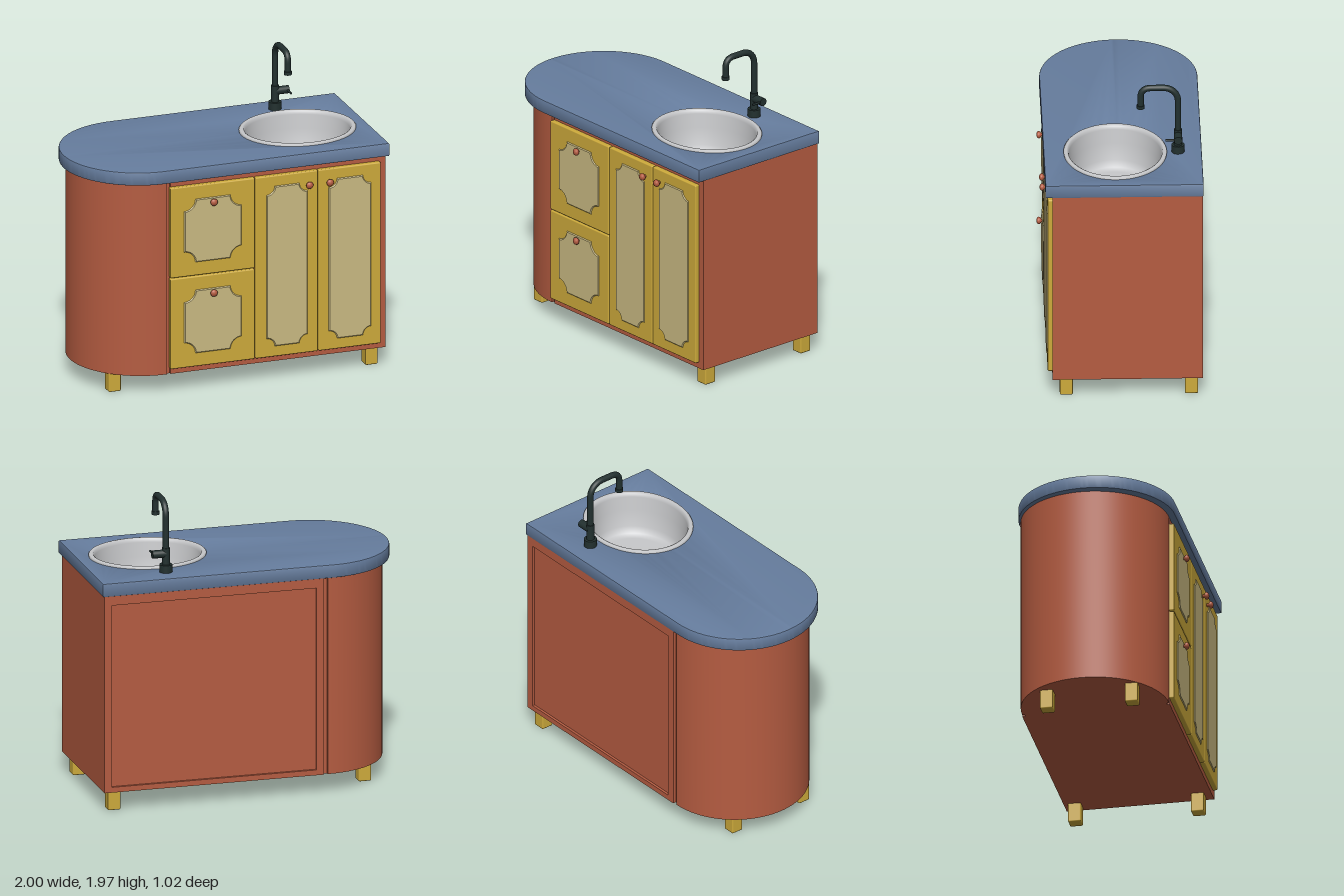
import * as THREE from 'three';
import { toCreasedNormals } from 'three/addons/utils/BufferGeometryUtils.js';
import { RoundedBoxGeometry } from 'three/addons/geometries/RoundedBoxGeometry.js';

const material = (name, color, side = THREE.FrontSide) =>
  Object.assign(new THREE.MeshStandardMaterial({ color, side }), { name });

export function createModel() {
  const blue = material('blue worktop', 0x667d9e);
  const red = material('terracotta', 0xb55c41);
  const yellow = material('mustard', 0xcdaa3b);
  const tan = material('sand', 0xcaba82);
  const steel = material('steel', 0xc6c7c9, THREE.DoubleSide);
  const dark = material('dark metal', 0x22302f);

  const model = new THREE.Group();
  model.name = 'sinkCabinet';
  const add = (name, geometry, mat, x = 0, y = 0, z = 0, parent = model) => {
    const mesh = new THREE.Mesh(geometry, mat);
    mesh.name = name;
    mesh.position.set(x, y, z);
    parent.add(mesh);
    return mesh;
  };
  // Box given by its limits
  const box = (name, mat, x0, x1, y0, y1, z0, z1, round = 0) => {
    const size = [x1 - x0, y1 - y0, z1 - z0];
    const geometry = round ? new RoundedBoxGeometry(...size, 2, round) : new THREE.BoxGeometry(...size);
    return add(name, geometry, mat, (x0 + x1) / 2, (y0 + y1) / 2, (z0 + z1) / 2);
  };
  // Plan outline extruded upward (shape y becomes -z)
  const slab = (shape, depth, bevel) => {
    const geometry = new THREE.ExtrudeGeometry(shape, {
      depth: depth - 2 * bevel, curveSegments: 48, bevelEnabled: bevel > 0,
      bevelSize: bevel, bevelThickness: bevel, bevelOffset: -bevel, bevelSegments: 2,
    });
    geometry.translate(0, 0, bevel).rotateX(-Math.PI / 2);
    return toCreasedNormals(geometry, 0.6);
  };
  // Outline with one half-round end towards -x
  const roundEnd = (xArc, xEnd, r, zMid) => {
    const s = new THREE.Shape();
    s.moveTo(xEnd, -zMid - r);
    s.lineTo(xEnd, -zMid + r);
    s.lineTo(xArc, -zMid + r);
    s.absarc(xArc, -zMid, r, Math.PI / 2, Math.PI * 1.5, false);
    s.closePath();
    return s;
  };

  // Worktop with an oval cut-out
  const sinkX = 0.55, sinkZ = 0.035;
  const top = roundEnd(-0.5025, 1, 0.4975, -0.0125);
  const hole = new THREE.Path();
  hole.absellipse(sinkX, -sinkZ, 0.355, 0.308, 0, Math.PI * 2, true);
  top.holes.push(hole);
  add('worktop', slab(top, 0.088, 0.008), blue, 0, 1.414, 0);

  // Cabinet: rounded end and hollow box
  add('roundedEnd', slab(roundEnd(-0.48, -0.475, 0.47, -0.03), 1.29, 0), red, 0, 0.125, 0);
  const y0 = 0.125, y1 = 1.415;
  box('cabinetFloor', red, -0.475, 0.99, y0, y0 + 0.02, -0.485, 0.42);
  box('cabinetFront', red, -0.45, 0.99, y0, y1, 0.415, 0.44);
  box('cabinetSide', red, 0.96, 0.99, y0, y1, -0.505, 0.44);
  box('joinStrip', red, -0.48, -0.44, y0, y1, -0.485, 0.425);
  box('backPanel', red, -0.45, 0.97, y0, y1, -0.488, -0.47);
  box('backTopRail', red, -0.4, 0.95, y1 - 0.06, y1, -0.505, -0.48);
  box('backBottomRail', red, -0.4, 0.95, y0, y0 + 0.035, -0.505, -0.48);
  box('backStile', red, -0.45, -0.4, y0, y1, -0.505, -0.48);
  box('backStile', red, 0.94, 0.99, y0, y1, -0.505, -0.48);

  // Raised panel with scooped corners
  const scoopedPanel = (w, h, r) => {
    const x = w / 2, y = h / 2, s = new THREE.Shape();
    s.moveTo(-x + r, -y);
    s.lineTo(x - r, -y);
    s.absarc(x, -y, r, Math.PI, Math.PI / 2, true);
    s.lineTo(x, y - r);
    s.absarc(x, y, r, Math.PI * 1.5, Math.PI, true);
    s.lineTo(-x + r, y);
    s.absarc(-x, y, r, 0, -Math.PI / 2, true);
    s.lineTo(-x, -y + r);
    s.absarc(-x, -y, r, Math.PI / 2, 0, true);
    return toCreasedNormals(new THREE.ExtrudeGeometry(s, {
      depth: 0.006, curveSegments: 8, bevelSize: 0.006, bevelThickness: 0.006,
      bevelOffset: -0.006, bevelSegments: 1,
    }), 0.5);
  };

  // Drawers and doors: limits, panel margins, corner scoop, knob position
  const knobProfile = [[0, 0], [0.01, 0], [0.01, 0.012], [0.021, 0.018], [0.024, 0.028],
    [0.019, 0.037], [0.009, 0.042], [0, 0.043]].map(p => new THREE.Vector2(...p));
  const knobGeometry = new THREE.LatheGeometry(knobProfile, 20).rotateX(Math.PI / 2);
  const fronts = [
    ['upperDrawer', -0.46, 0.106, 0.773, 1.375, 0.09, 0.09, 0.075, -0.178, 1.257],
    ['lowerDrawer', -0.46, 0.106, 0.165, 0.767, 0.09, 0.09, 0.075, -0.178, 0.65],
    ['rightDoor', 0.112, 0.528, 0.165, 1.375, 0.07, 0.07, 0.055, 0.463, 1.29],
    ['leftDoor', 0.533, 0.95, 0.165, 1.375, 0.066, 0.07, 0.055, 0.6, 1.29],
  ];
  for (const [name, xa, xb, ya, yb, mx, my, r, kx, ky] of fronts) {
    box(name, yellow, xa, xb, ya, yb, 0.43, 0.47, 0.008);
    add(name + 'Panel', scoopedPanel(xb - xa - 2 * mx, yb - ya - 2 * my, r), tan,
      (xa + xb) / 2, (ya + yb) / 2, 0.464);
    add(name + 'Knob', knobGeometry, red, kx, ky, 0.469);
  }

  // Legs
  for (const [x, z] of [[0.916, 0.353], [0.916, -0.435], [-0.772, 0.264], [-0.772, -0.28]])
    box('leg', yellow, x - 0.041, x + 0.041, 0, 0.13, z - 0.041, z + 0.041, 0.008);

  // Oval basin
  const basinProfile = [[0.374, -0.002], [0.375, 0.008], [0.368, 0.015], [0.352, 0.016], [0.342, 0.01],
    [0.336, -0.01], [0.325, -0.1], [0.305, -0.21], [0.28, -0.25], [0.24, -0.262], [0, -0.265]];
  const basin = add('basin', new THREE.LatheGeometry(basinProfile.map(p => new THREE.Vector2(...p)), 64),
    steel, sinkX, 1.502, sinkZ);
  basin.scale.z = 0.867;
  add('drainRing', new THREE.TorusGeometry(0.03, 0.005, 8, 24).rotateX(Math.PI / 2), steel, 0.545, 1.24, sinkZ);
  add('drainHole', new THREE.CylinderGeometry(0.02, 0.02, 0.006, 24), blue, 0.545, 1.241, sinkZ);

  // Tap
  const tap = new THREE.Group();
  tap.name = 'tap';
  tap.position.set(0.545, 0, -0.36);
  model.add(tap);
  const rod = (name, r, length, x, y, z, axis = 'y') => {
    const geometry = new THREE.CylinderGeometry(r, r, length, 24);
    if (axis === 'x') geometry.rotateZ(Math.PI / 2);
    if (axis === 'z') geometry.rotateX(Math.PI / 2);
    add(name, geometry, dark, x, y, z, tap);
  };
  const v = (y, z) => new THREE.Vector3(0, y, z);
  const path = new THREE.CurvePath();
  path.add(new THREE.LineCurve3(v(1.54, 0), v(1.86, 0)));
  path.add(new THREE.CubicBezierCurve3(v(1.86, 0), v(1.915, 0), v(1.953, 0.04), v(1.953, 0.095)));
  path.add(new THREE.LineCurve3(v(1.953, 0.095), v(1.953, 0.165)));
  path.add(new THREE.CubicBezierCurve3(v(1.953, 0.165), v(1.953, 0.21), v(1.935, 0.235), v(1.89, 0.235)));
  path.add(new THREE.LineCurve3(v(1.89, 0.235), v(1.82, 0.235)));
  add('spout', new THREE.TubeGeometry(path, 80, 0.02, 16), dark, 0, 0, 0, tap);
  rod('spoutTip', 0.025, 0.022, 0, 1.822, 0.235);
  rod('tapBase', 0.041, 0.05, 0, 1.527, 0);
  rod('tapColumn', 0.025, 0.12, 0, 1.6, 0);
  rod('valve', 0.026, 0.09, 0.045, 1.622, 0, 'x');
  rod('lever', 0.007, 0.1, 0.079, 1.622, 0.03, 'z');

  return model;
}
